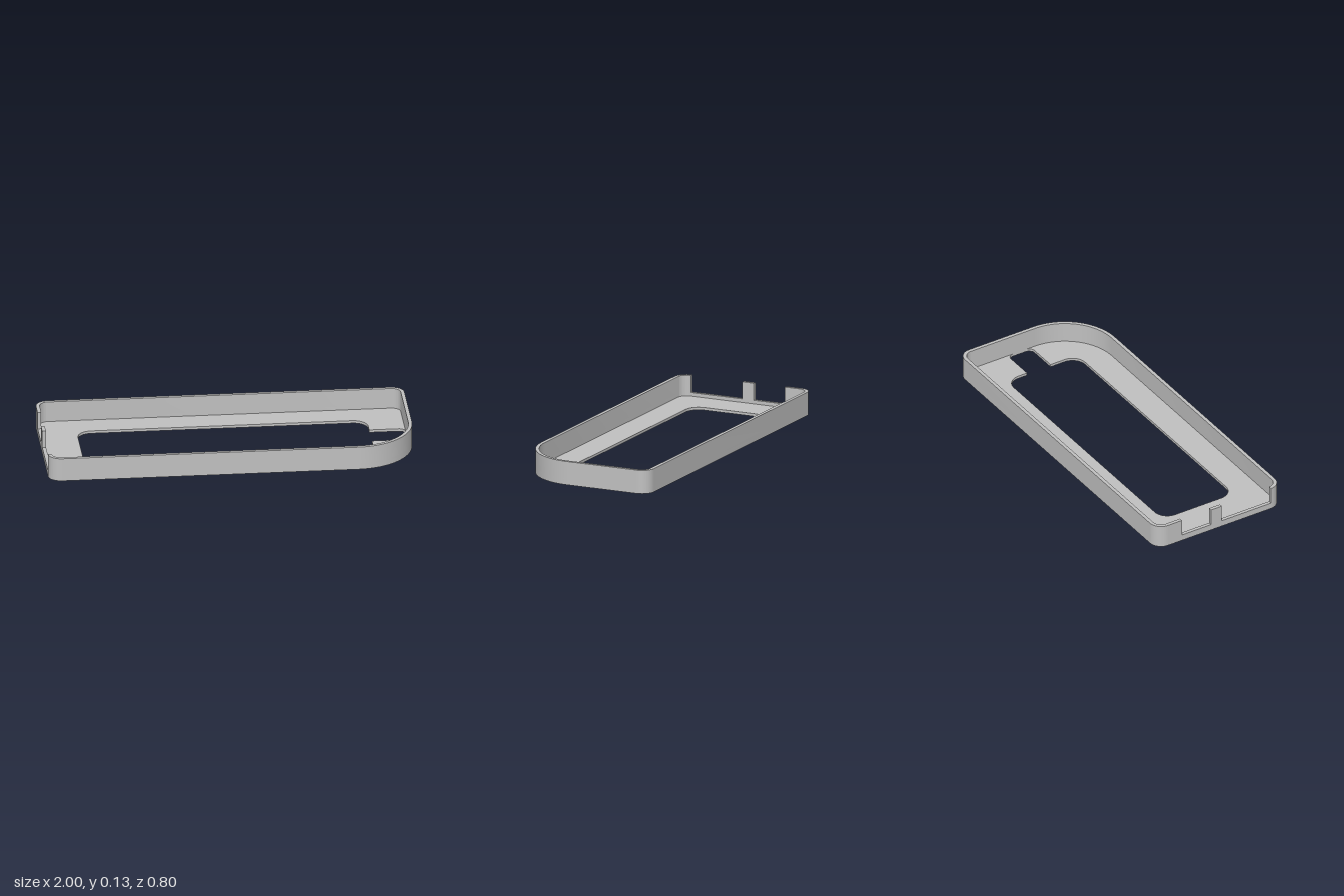
import * as THREE from 'three';
import { toCreasedNormals } from 'three/addons/utils/BufferGeometryUtils.js';

const HEIGHT = 0.13, FLOOR = 0.015, SILL = 0.035, WALL = 0.02;

// Counterclockwise outline with its own corner radii, starting and ending on the left side.
// Plan coordinates: x, and y = -z.
function outline(x0, x1, y0, y1, [bl, br, tr, tl], start = 0, end = 0) {
  const p = new THREE.Path();
  const q = Math.PI / 2;
  p.moveTo(x0, start);
  p.absarc(x0 + bl, y0 + bl, bl, 2 * q, 3 * q, false);
  p.absarc(x1 - br, y0 + br, br, 3 * q, 4 * q, false);
  p.absarc(x1 - tr, y1 - tr, tr, 0, q, false);
  p.absarc(x0 + tl, y1 - tl, tl, q, 2 * q, false);
  p.lineTo(x0, end);
  return p.getPoints(20);
}

// Tray outline, inset by a distance
function trayOutline(inset, start, end) {
  const r = 0.07 - inset;
  return outline(-1 + inset, 1 - inset, -0.4 + inset, 0.4 - inset, [r, 0.32 - inset, r, r], start, end);
}

export function createModel() {
  const group = new THREE.Group();
  group.name = 'tray';
  const grey = new THREE.MeshStandardMaterial({ color: 0xc0c0c0 });
  grey.name = 'grey plastic';

  // Extrude a plan shape upward between two heights
  function slab(name, shape, from, to) {
    const geo = new THREE.ExtrudeGeometry(shape, { depth: to - from, bevelEnabled: false });
    geo.rotateX(-Math.PI / 2).translate(0, from, 0);
    const mesh = new THREE.Mesh(toCreasedNormals(geo, 0.5), grey);
    mesh.name = name;
    group.add(mesh);
  }

  // Floor with the long window and the slot reaching the right wall
  const floor = new THREE.Shape(trayOutline(0));
  const win = new THREE.Path();
  const q = Math.PI / 2, r = 0.08, s = 0.035;
  win.moveTo(-0.79, 0);
  win.absarc(-0.79 + r, -0.225 + r, r, 2 * q, 3 * q, false);
  win.absarc(0.785 - r, -0.225 + r, r, 3 * q, 4 * q, false);
  win.lineTo(0.785, -0.055);
  win.absarc(0.98 - s, -0.055 + s, s, 3 * q, 4 * q, false);
  win.absarc(0.98 - s, 0.095 - s, s, 0, q, false);
  win.lineTo(0.785, 0.095);
  win.absarc(0.785 - r, 0.23 - r, r, 0, q, false);
  win.absarc(-0.79 + r, 0.23 - r, r, q, 2 * q, false);
  floor.holes.push(new THREE.Path(win.getPoints(12)));
  slab('floor', floor, 0, FLOOR);

  // Lower wall, closed all the way round
  const ring = new THREE.Shape(trayOutline(0));
  ring.holes.push(new THREE.Path(trayOutline(WALL)));
  slab('lowerWall', ring, FLOOR, SILL);

  // Upper wall, open at the end cutouts
  const open = new THREE.Shape([
    ...trayOutline(0, -0.2, 0.24),
    ...trayOutline(WALL, -0.2, 0.24).reverse(),
  ]);
  slab('upperWall', open, SILL, HEIGHT);

  // Post between the two cutouts
  const post = new THREE.Shape([[-1, -0.015], [-1 + WALL, -0.015], [-1 + WALL, 0.055], [-1, 0.055]]
    .map(([x, y]) => new THREE.Vector2(x, y)));
  slab('cutoutPost', post, SILL, HEIGHT);

  return group;
}
